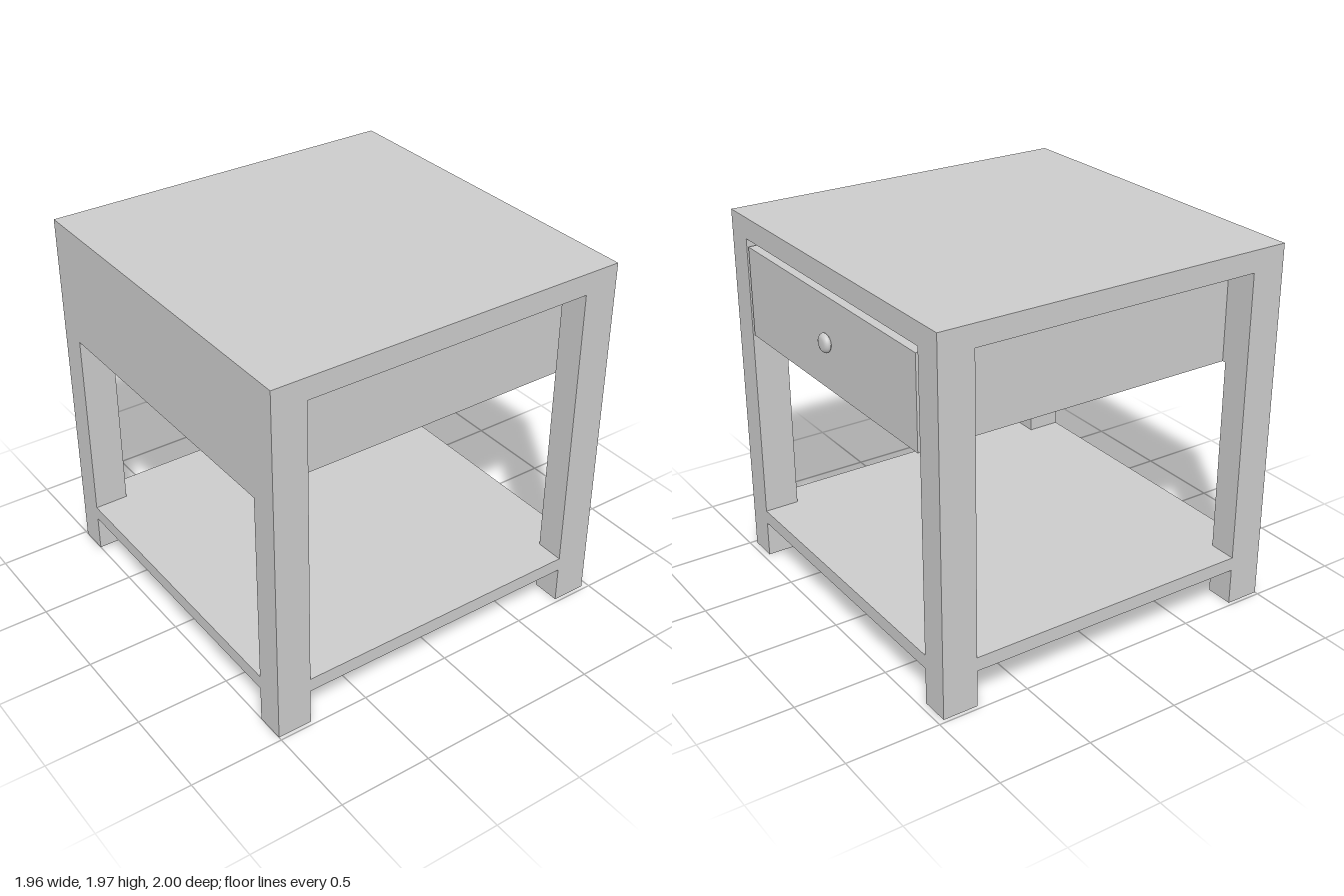
import * as THREE from 'three';

export function createModel() {
  const root = new THREE.Group();
  const grey = new THREE.MeshStandardMaterial({ color: 0xcccccc, flatShading: true });
  const smooth = new THREE.MeshStandardMaterial({ color: 0xcccccc });

  const W = 0.98, back = -0.965, front = 1;      // outer limits
  const legX = 0.825, legBack = -0.775, legFront = 0.815; // inner leg faces
  const slabY = 1.85, topY = 1.965, apronY = 1.33;

  const add = (name, geometry, material = grey) => {
    const mesh = new THREE.Mesh(geometry, material);
    mesh.name = name;
    root.add(mesh);
    return mesh;
  };
  // box given by its limits
  const box = (name, x0, x1, y0, y1, z0, z1) => {
    const g = new THREE.BoxGeometry(x1 - x0, y1 - y0, z1 - z0);
    g.translate((x0 + x1) / 2, (y0 + y1) / 2, (z0 + z1) / 2);
    return add(name, g);
  };

  // table top and the apron that closes the front
  box('tableTop', -W, W, slabY, topY, back, front);
  box('frontApron', -legX, legX, apronY, slabY, legFront, front);

  // four square legs
  for (const s of [-1, 1]) {
    const x0 = s > 0 ? legX : -W, x1 = s > 0 ? W : -legX;
    box('frontLeg', x0, x1, 0, slabY, legFront, front);
    box('backLeg', x0, x1, 0, slabY, back, legBack);
  }

  // lower shelf, notched around the legs and flush with them
  const outline = [
    [-legX, back], [legX, back], [legX, legBack], [W, legBack], [W, legFront], [legX, legFront],
    [legX, front], [-legX, front], [-legX, legFront], [-W, legFront], [-W, legBack], [-legX, legBack],
  ];
  const shelfShape = new THREE.Shape(outline.map(([x, z]) => new THREE.Vector2(x, -z)));
  const shelf = new THREE.ExtrudeGeometry(shelfShape, { depth: 0.075, bevelEnabled: false });
  shelf.rotateX(-Math.PI / 2).translate(0, 0.2, 0);
  add('shelf', shelf);

  // drawer: its top falls slightly towards the knob
  const drawerShape = new THREE.Shape([
    new THREE.Vector2(-legFront, apronY), new THREE.Vector2(-back, apronY),
    new THREE.Vector2(-back, 1.812), new THREE.Vector2(-legFront, 1.84),
  ]);
  const drawer = new THREE.ExtrudeGeometry(drawerShape, { depth: 1.61, bevelEnabled: false });
  drawer.translate(0, 0, -0.805).rotateY(Math.PI / 2);
  add('drawer', drawer);

  // round knob
  const profile = [[0.04, 0], [0.048, 0.007], [0.05, 0.014], [0.047, 0.022], [0.039, 0.03], [0.027, 0.035], [0, 0.035]];
  const knob = new THREE.LatheGeometry(profile.map(([r, y]) => new THREE.Vector2(r, y)), 32);
  knob.rotateX(-Math.PI / 2).translate(0, 1.575, back);
  add('knob', knob, smooth);

  return root;
}
